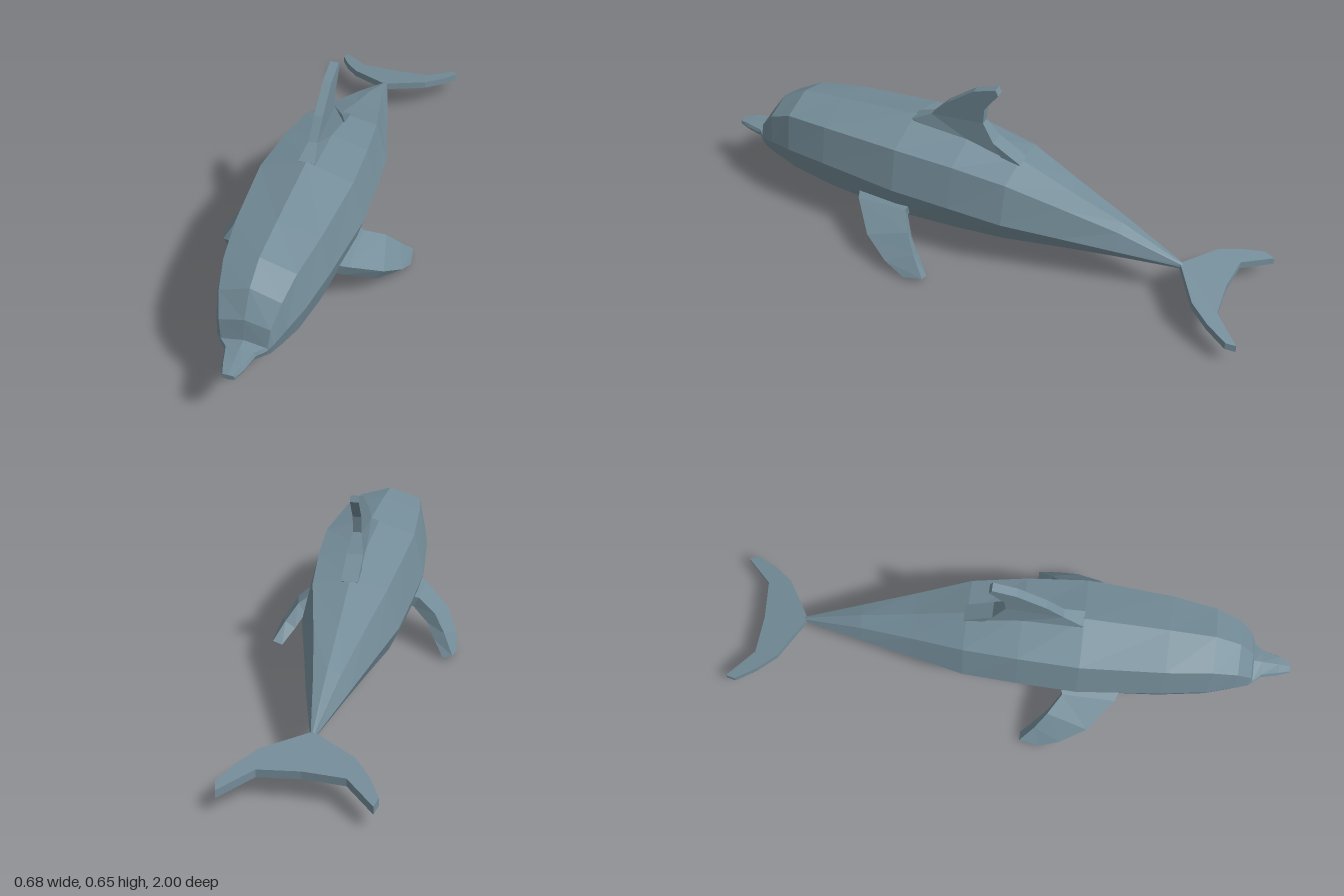
import * as THREE from 'three';

const skin = new THREE.MeshStandardMaterial({ color: 0x748d99, flatShading: true });
skin.name = 'blue grey skin';

// Closed skin over rings of [x, y, z]; each ring runs clockwise along the path
function loft(rings) {
  const n = rings[0].length, last = (rings.length - 1) * n, index = [];
  for (let i = 0; i < rings.length - 1; i++) {
    for (let j = 0; j < n; j++) {
      const a = i * n + j, b = i * n + (j + 1) % n;
      index.push(a, b, a + n, b, b + n, a + n);
    }
  }
  for (let j = 1; j < n - 1; j++) {
    index.push(0, j + 1, j, last, last + j, last + j + 1);
  }
  const g = new THREE.BufferGeometry();
  g.setAttribute('position', new THREE.Float32BufferAttribute(rings.flat(2), 3));
  g.setIndex(index);
  const flat = g.toNonIndexed();
  flat.computeVertexNormals();
  return flat;
}

// Flat plate centred on its thickness
function plate(outline, thickness) {
  const shape = new THREE.Shape(outline.map(([x, y]) => new THREE.Vector2(x, y)));
  const g = new THREE.ExtrudeGeometry(shape, { depth: thickness, bevelEnabled: false });
  return g.translate(0, 0, -thickness / 2);
}

// Moves each vertex by a rule
function bend(g, rule) {
  const p = g.attributes.position, v = new THREE.Vector3();
  for (let i = 0; i < p.count; i++) {
    v.fromBufferAttribute(p, i);
    rule(v);
    p.setXYZ(i, v.x, v.y, v.z);
  }
  g.computeVertexNormals();
  return g;
}

export function createModel() {
  const group = new THREE.Group();
  group.name = 'dolphin';
  const add = (name, geometry) => {
    const mesh = new THREE.Mesh(geometry, skin);
    mesh.name = name;
    group.add(mesh);
  };

  // Body with beak and forehead: z, top y, shoulder x y, side x y, lower x y, belly y
  const stations = [
    [1.0, 0.213, 0.018, 0.212, 0.02, 0.205, 0.018, 0.198, 0.195],
    [0.96, 0.22, 0.03, 0.218, 0.036, 0.205, 0.03, 0.193, 0.185],
    [0.9, 0.227, 0.045, 0.221, 0.05, 0.208, 0.042, 0.191, 0.165],
    [0.87, 0.232, 0.073, 0.219, 0.078, 0.21, 0.068, 0.188, 0.155],
    [0.855, 0.3, 0.082, 0.28, 0.09, 0.222, 0.078, 0.183, 0.15],
    [0.8, 0.378, 0.1, 0.345, 0.113, 0.24, 0.095, 0.175, 0.138],
    [0.71, 0.425, 0.118, 0.388, 0.143, 0.255, 0.118, 0.162, 0.12],
    [0.55, 0.44, 0.14, 0.402, 0.17, 0.265, 0.138, 0.148, 0.103],
    [0.26, 0.46, 0.16, 0.41, 0.197, 0.26, 0.157, 0.135, 0.08],
    [0.05, 0.435, 0.148, 0.395, 0.185, 0.245, 0.148, 0.138, 0.075],
    [-0.14, 0.392, 0.128, 0.366, 0.168, 0.225, 0.133, 0.142, 0.083],
    [-0.33, 0.315, 0.085, 0.3, 0.118, 0.198, 0.092, 0.141, 0.098],
    [-0.52, 0.245, 0.045, 0.235, 0.07, 0.172, 0.052, 0.137, 0.112],
    [-0.74, 0.145, 0.006, 0.143, 0.008, 0.135, 0.006, 0.128, 0.124],
  ];
  add('body', loft(stations.map(([z, top, sx, sy, mx, my, lx, ly, belly]) => [
    [0, top, z], [sx, sy, z], [mx, my, z], [lx, ly, z],
    [0, belly, z], [-lx, ly, z], [-mx, my, z], [-sx, sy, z],
  ])));

  // Dorsal fin, flared where it meets the back
  const fin = plate([
    [0.26, 0.457], [0.19, 0.49], [0.13, 0.555], [0.03, 0.63], [-0.05, 0.657], [-0.06, 0.637],
    [-0.01, 0.567], [-0.005, 0.51], [-0.05, 0.447], [-0.15, 0.388], [-0.1, 0.36], [0.2, 0.4],
  ], 0.03).rotateY(-Math.PI / 2);
  add('dorsalFin', bend(fin, (v) => { if (v.y < 0.46) v.x *= 1.9; }));

  // Tail fluke, sloping down to the back
  const half = [[0.145, 0.82], [0.2, 0.89], [0.24, 0.965], [0.23, 1.0], [0.135, 0.905]];
  const fluke = plate([
    [0, 0.73], ...half, [0, 0.895], ...half.map(([x, y]) => [-x, y]).reverse(),
  ], 0.026).rotateX(-Math.PI / 2);
  add('tailFluke', bend(fluke, (v) => { v.y += 0.135 + (v.z + 0.72) * 0.236; }));

  // Flippers: leading edge, trailing edge, half thickness in x and y
  const flipper = [
    [[0.13, 0.17, 0.42], [0.13, 0.178, 0.2], 0.008, 0.018],
    [[0.178, 0.155, 0.4], [0.178, 0.165, 0.215], 0.01, 0.018],
    [[0.272, 0.09, 0.315], [0.24, 0.125, 0.17], 0.013, 0.019],
    [[0.308, 0.04, 0.225], [0.275, 0.075, 0.13], 0.018, 0.013],
    [[0.322, 0.011, 0.15], [0.312, 0.021, 0.08], 0.017, 0.006],
  ];
  for (const [name, side] of [['leftFlipper', 1], ['rightFlipper', -1]]) {
    add(name, loft(flipper.map(([lead, trail, dx, dy]) => {
      const ring = [[lead, 1], [lead, -1], [trail, -1], [trail, 1]].map(
        ([[x, y, z], s]) => [side * (x + s * dx), y + s * dy, z]);
      return side > 0 ? ring : ring.reverse();
    })));
  }
  return group;
}
